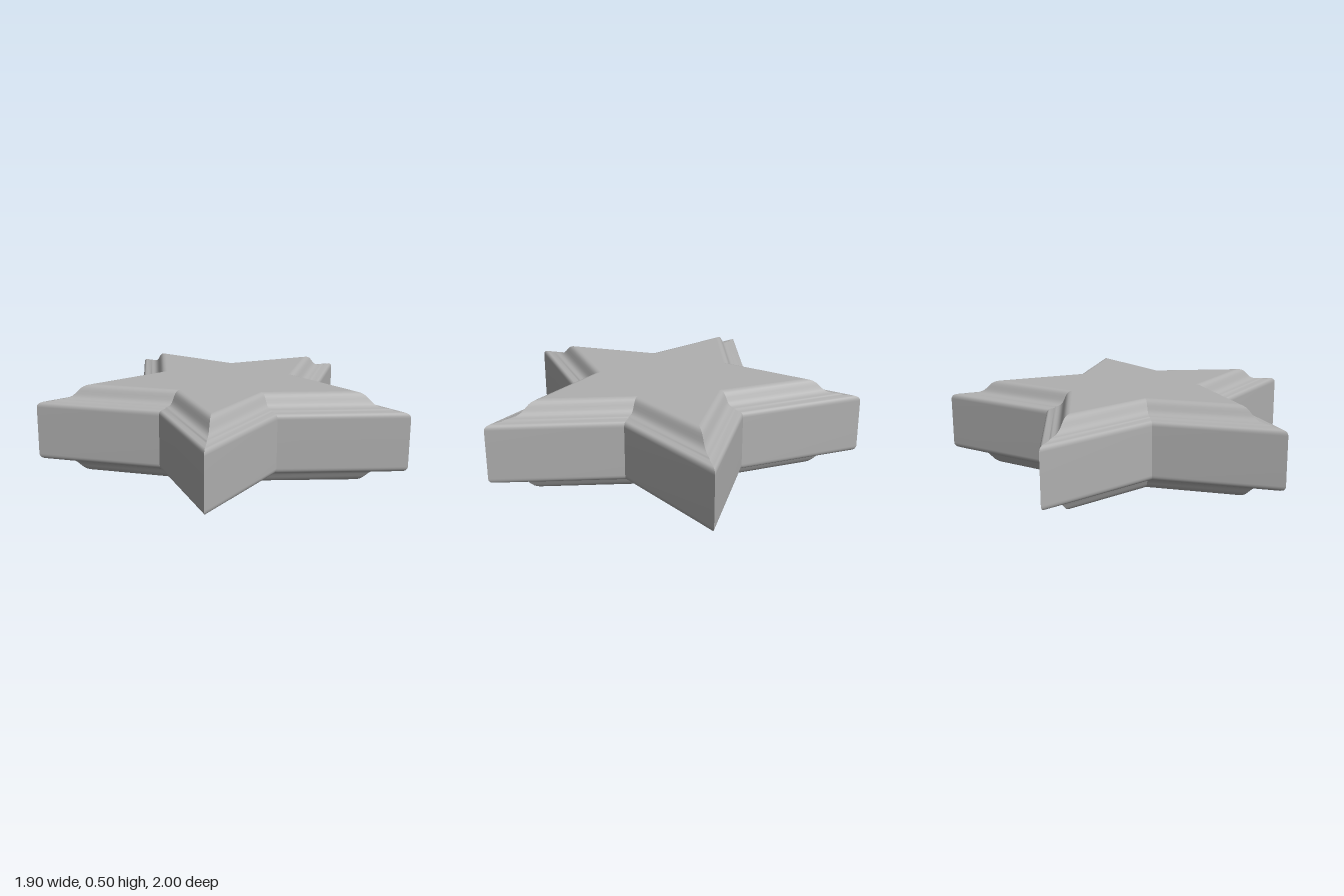
import * as THREE from 'three';
import { mergeGeometries } from 'three/addons/utils/BufferGeometryUtils.js';

const TIP = 1.0515, NOTCH = 0.528, CENTRE_X = 0.1, MID_Y = 0.2475;

// Edge moulding, upper half: [inset from the outline, height above the middle]
const UPPER = [
  [0, 0], [0, 0.133], [0.001, 0.143], [0.004, 0.152], [0.009, 0.158], [0.016, 0.162],
  [0.042, 0.164], [0.046, 0.170], [0.056, 0.172], [0.068, 0.174], [0.078, 0.179],
  [0.087, 0.188], [0.094, 0.200], [0.101, 0.215], [0.108, 0.229], [0.115, 0.238],
  [0.123, 0.244], [0.133, 0.247], [0.140, 0.2475],
];
const PROFILE = [...UPPER.slice(1).reverse().map(([d, h]) => [d, -h]), ...UPPER];

// Half angles at tips and notches, so that the inset is even along every side
const tipHalf = Math.atan2(
  NOTCH * Math.sin(Math.PI / 5), TIP - NOTCH * Math.cos(Math.PI / 5));
const notchHalf = tipHalf + Math.PI / 5;

// Corner k of the star (even = tip, odd = notch) at a given inset and height
function corner(k, [inset, h]) {
  const radius = k % 2 === 0
    ? TIP - inset / Math.sin(tipHalf)
    : NOTCH - inset / Math.sin(notchHalf);
  const a = Math.PI + k * Math.PI / 5;
  return [CENTRE_X + radius * Math.cos(a), MID_Y + h, radius * Math.sin(a)];
}

function surface(points, index) {
  const g = new THREE.BufferGeometry();
  g.setAttribute('position', new THREE.Float32BufferAttribute(points.flat(), 3));
  g.setIndex(index);
  g.computeVertexNormals();
  return g;
}

// One straight side: the moulding swept between two mitred corners
function side(k) {
  const n = PROFILE.length, index = [];
  const points = [k, k + 1].flatMap(c => PROFILE.map(p => corner(c, p)));
  for (let j = 0; j < n - 1; j++) {
    index.push(j, j + 1, n + j, j + 1, n + j + 1, n + j);
  }
  return surface(points, index);
}

// Flat star face as a fan around the centre
function face(profilePoint, up) {
  const points = [[CENTRE_X, MID_Y + profilePoint[1], 0]], index = [];
  for (let k = 0; k < 10; k++) {
    points.push(corner(k, profilePoint));
    const here = k + 1, next = (k + 1) % 10 + 1;
    index.push(0, ...(up ? [next, here] : [here, next]));
  }
  return surface(points, index);
}

export function createModel() {
  const group = new THREE.Group();
  group.name = 'star';
  const grey = new THREE.MeshStandardMaterial({ color: 0xb0b0b0 });
  grey.name = 'grey';

  const add = (name, geometry) => {
    const mesh = new THREE.Mesh(geometry, grey);
    mesh.name = name;
    group.add(mesh);
  };
  add('mouldedEdge', mergeGeometries(Array.from({ length: 10 }, (_, k) => side(k))));
  add('topFace', face(PROFILE[PROFILE.length - 1], true));
  add('bottomFace', face(PROFILE[0], false));
  return group;
}
